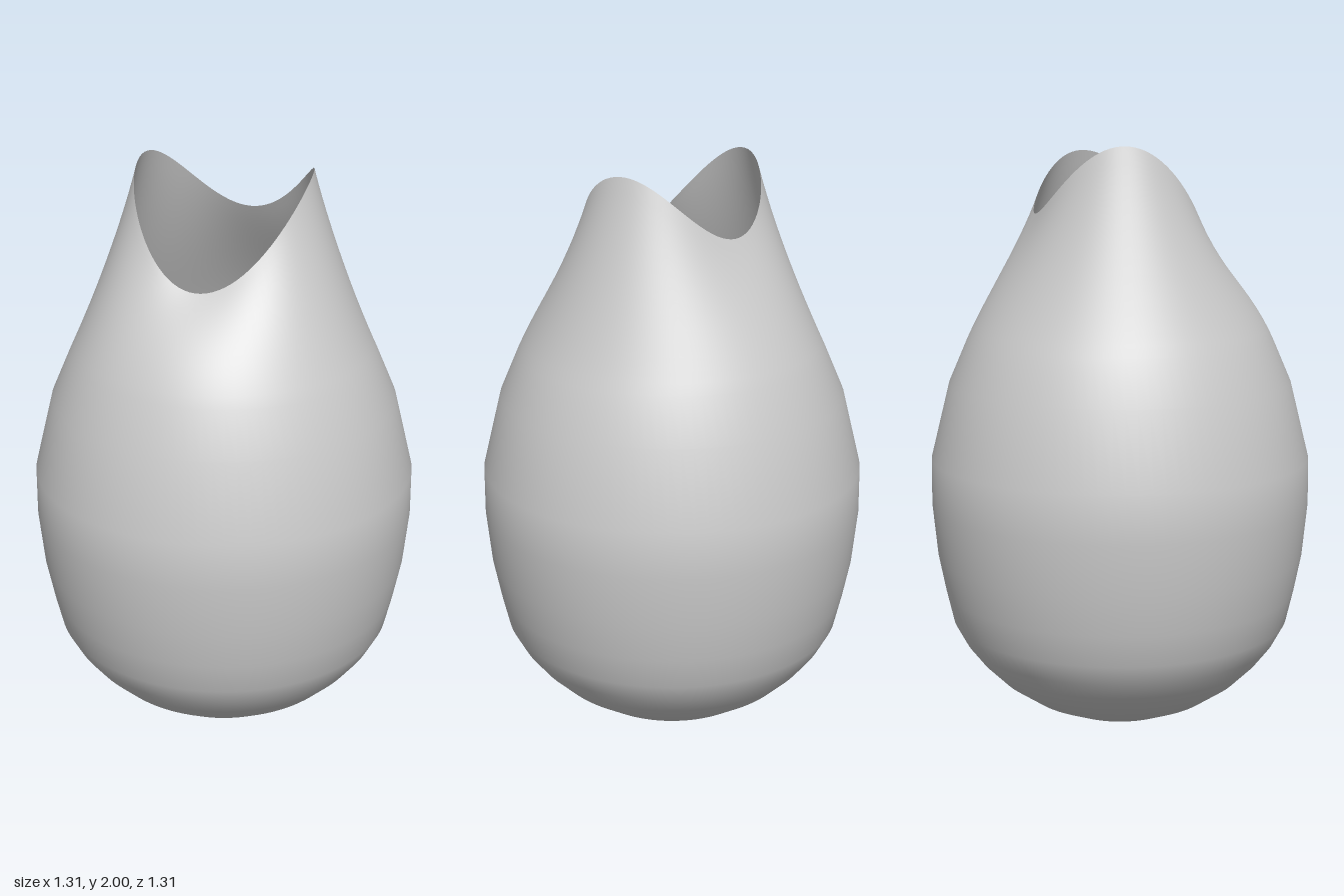
import * as THREE from 'three';
import { mergeVertices } from 'three/addons/utils/BufferGeometryUtils.js';

// Lower body profile: radius, height
const BODY = [
  [0, 0], [0.1, 0.005], [0.22, 0.03], [0.33, 0.08], [0.43, 0.15], [0.5, 0.22],
  [0.55, 0.285], [0.59, 0.36], [0.615, 0.47], [0.64, 0.6], [0.657, 0.78],
  [0.655, 0.94], [0.59, 1.2], [0.525, 1.35],
];
const NECK_STEPS = 14;
const SEGMENTS = 96;

// Peaks and dips of the wavy rim: angle from +x towards +z in degrees, height
const RIM = [[-45, 1.775], [31, 1.98], [134, 1.645], [235, 2.0], [315, 1.775]];

function rimHeight(x, z) {
  let a = THREE.MathUtils.radToDeg(Math.atan2(z, x));
  if (a < -45) a += 360;
  let i = 0;
  while (i < RIM.length - 2 && a > RIM[i + 1][0]) i++;
  const [a0, h0] = RIM[i], [a1, h1] = RIM[i + 1];
  const t = (1 - Math.cos(Math.PI * (a - a0) / (a1 - a0))) / 2;
  return h0 + (h1 - h0) * t;
}

// Neck curve from the shoulder up to a rim of height h
function neckCurve(h) {
  return new THREE.CubicBezierCurve(
    new THREE.Vector2(0.525, 1.35),
    new THREE.Vector2(0.45, 1.51),
    new THREE.Vector2(0.35, 1.51 + 0.55 * (h - 1.51)),
    new THREE.Vector2(0.293, h),
  );
}

function vesselGeometry() {
  const profile = BODY.map(([r, y]) => new THREE.Vector2(r, y));
  profile.push(...neckCurve(1.85).getPoints(NECK_STEPS).slice(1));
  const lathe = new THREE.LatheGeometry(profile, SEGMENTS);

  // Stretch the neck of every meridian to its own rim height
  const pos = lathe.attributes.position;
  for (let i = 0; i < pos.count; i++) {
    const step = (i % profile.length) - BODY.length + 1;
    if (step <= 0) continue;
    const x = pos.getX(i), z = pos.getZ(i);
    const p = neckCurve(rimHeight(x, z)).getPoint(step / NECK_STEPS);
    const k = p.x / Math.hypot(x, z);
    pos.setXYZ(i, x * k, p.y, z * k);
  }

  // Weld the seam so shading runs smoothly all the way round
  lathe.deleteAttribute('uv');
  lathe.deleteAttribute('normal');
  const welded = mergeVertices(lathe, 1e-4);
  welded.computeVertexNormals();
  return welded;
}

export function createModel() {
  const group = new THREE.Group();
  group.name = 'vase';
  const material = new THREE.MeshStandardMaterial({ color: 0xcccccc, side: THREE.DoubleSide });
  const shell = new THREE.Mesh(vesselGeometry(), material);
  shell.name = 'vaseShell';
  group.add(shell);
  return group;
}
